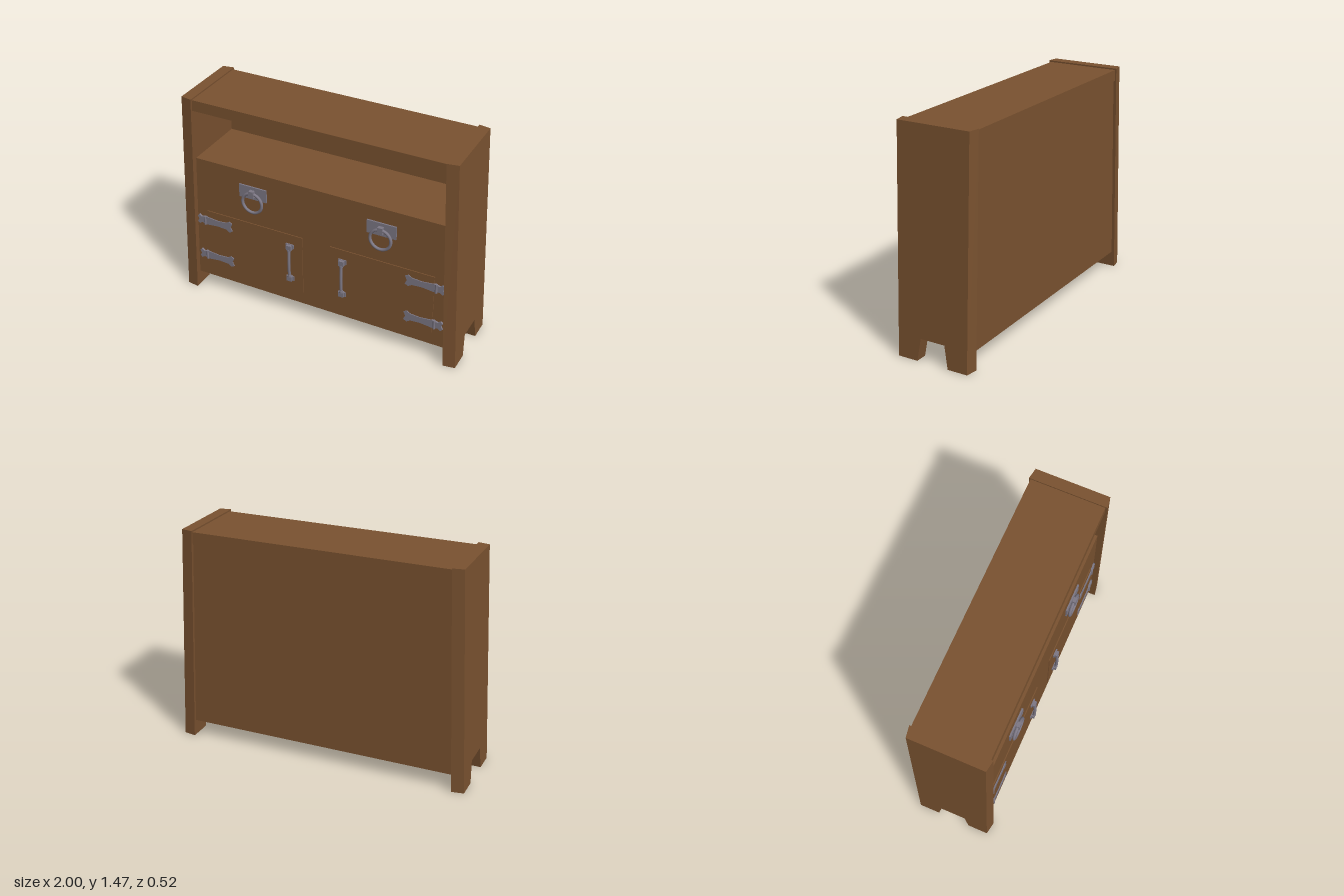
import * as THREE from 'three';

const wood = new THREE.MeshStandardMaterial({ color: 0x7a5230 });
wood.name = 'wood';
const iron = new THREE.MeshStandardMaterial({ color: 0x7d7885 });
iron.name = 'iron';

const HEIGHT = 1.47, FRONT = 0.22;
const innerX = (y) => 0.92 - 0.06 * y / HEIGHT;   // leaning inner face of the sides
const outerX = (y) => 1.0 - 0.065 * y / HEIGHT;   // leaning outer face

export function createModel() {
  const model = new THREE.Group();
  model.name = 'sideboard';

  const add = (name, geometry, material, parent = model) => {
    const mesh = new THREE.Mesh(geometry, material);
    mesh.name = name;
    parent.add(mesh);
    return mesh;
  };
  const box = (name, w, h, d, x, y, z, material, parent) =>
    add(name, new THREE.BoxGeometry(w, h, d).translate(x, y, z), material, parent);
  const extrude = (points, depth) => new THREE.ExtrudeGeometry(
    new THREE.Shape(points.map(([x, y]) => new THREE.Vector2(x, y))),
    { depth, bevelEnabled: false });

  // Board that fills the width between the leaning sides
  const board = (name, y0, y1, z0, z1) => {
    const a = innerX(y0) + 0.005, b = innerX(y1) + 0.005;
    add(name, extrude([[-a, y0], [a, y0], [b, y1], [-b, y1]], z1 - z0).translate(0, 0, z0), wood);
  };

  // Leaning side with two feet; its outer face is slightly narrower
  const sidePanel = (s) => {
    const g = extrude([[-0.26, 0], [-0.11, 0], [-0.085, 0.15], [0.085, 0.15],
      [0.11, 0], [0.26, 0], [0.26, HEIGHT], [-0.26, HEIGHT]], 1).rotateY(Math.PI / 2);
    const p = g.attributes.position;
    for (let i = 0; i < p.count; i++) {
      const y = p.getY(i), t = s > 0 ? p.getX(i) : 1 - p.getX(i);
      p.setX(i, s * THREE.MathUtils.lerp(innerX(y), outerX(y), t));
      if (Math.abs(p.getZ(i)) > 0.2) p.setZ(i, Math.sign(p.getZ(i)) * (0.26 - 0.013 * t));
    }
    g.computeVertexNormals();
    add(s > 0 ? 'leftSide' : 'rightSide', g, wood);
  };

  // Carcass
  board('topBoard', 1.385, 1.46, -0.25, 0.245);
  board('backPanel', 0.11, 1.39, -0.24, -0.22);
  board('frontBoard', 0.11, 1.025, FRONT - 0.025, FRONT);
  board('shelf', 1.0, 1.025, -0.225, FRONT - 0.02);

  // Strap hinge outline for the left half, flared at both ends
  const strap = [[0.625, 0.03], [0.638, 0], [0.625, -0.03], [0.648, -0.042], [0.672, -0.026],
    [0.74, -0.021], [0.82, -0.03], [0.86, -0.022], [0.88, -0.036], [0.893, -0.022], [0.882, 0],
    [0.893, 0.022], [0.88, 0.036], [0.86, 0.022], [0.82, 0.03], [0.74, 0.021],
    [0.672, 0.026], [0.648, 0.042]];

  for (const s of [1, -1]) {
    sidePanel(s);

    // Cupboard box with its door standing just proud of the front
    box('cupboard', 0.72, 0.44, 0.40, s * 0.46, 0.42, 0.0, wood);
    box('door', 0.72, 0.435, 0.008, s * 0.46, 0.42, FRONT + 0.002, wood);

    // Strap hinges
    for (const y of [0.56, 0.28]) {
      const hinge = new THREE.Group();
      hinge.name = 'hinge';
      model.add(hinge);
      add('hingeStrap', extrude(strap.map(([x, v]) => [s * x, v + y]), 0.012)
        .translate(0, 0, FRONT), iron, hinge);
      add('hingeKnuckle', new THREE.CylinderGeometry(0.009, 0.009, 0.064, 12)
        .translate(s * 0.835, y, FRONT + 0.01), iron, hinge);
    }

    // Upright door handle: end plates and a bowed bar
    const handle = new THREE.Group();
    handle.name = 'doorHandle';
    handle.position.set(s * 0.19, 0.425, FRONT + 0.006);
    model.add(handle);
    for (const e of [1, -1]) {
      box('handlePlate', 0.056, 0.032, 0.008, 0, e * 0.127, 0.004, iron, handle);
      box('handleFoot', 0.036, 0.036, 0.024, 0, e * 0.122, 0.014, iron, handle);
      add('handleCollar', new THREE.CylinderGeometry(0.013, 0.013, 0.012, 12)
        .translate(0, e * 0.1, 0.018), iron, handle);
    }
    const bar = new THREE.CatmullRomCurve3([-0.12, -0.08, 0, 0.08, 0.12].map((y) =>
      new THREE.Vector3(0, y, 0.022 - 0.5 * y * y)));
    add('handleBar', new THREE.TubeGeometry(bar, 16, 0.01, 10), iron, handle);

    // Ring pull on a back plate
    const pull = new THREE.Group();
    pull.name = 'ringPull';
    pull.position.set(s * 0.455, 0.81, FRONT);
    model.add(pull);
    box('pullPlate', 0.2, 0.092, 0.01, 0, 0.068, 0.005, iron, pull);
    box('pullClasp', 0.034, 0.05, 0.03, 0, 0.068, 0.02, iron, pull);
    add('pullRing', new THREE.TorusGeometry(0.071, 0.01, 10, 36)
      .translate(0, 0, 0.02), iron, pull);
  }
  return model;
}
